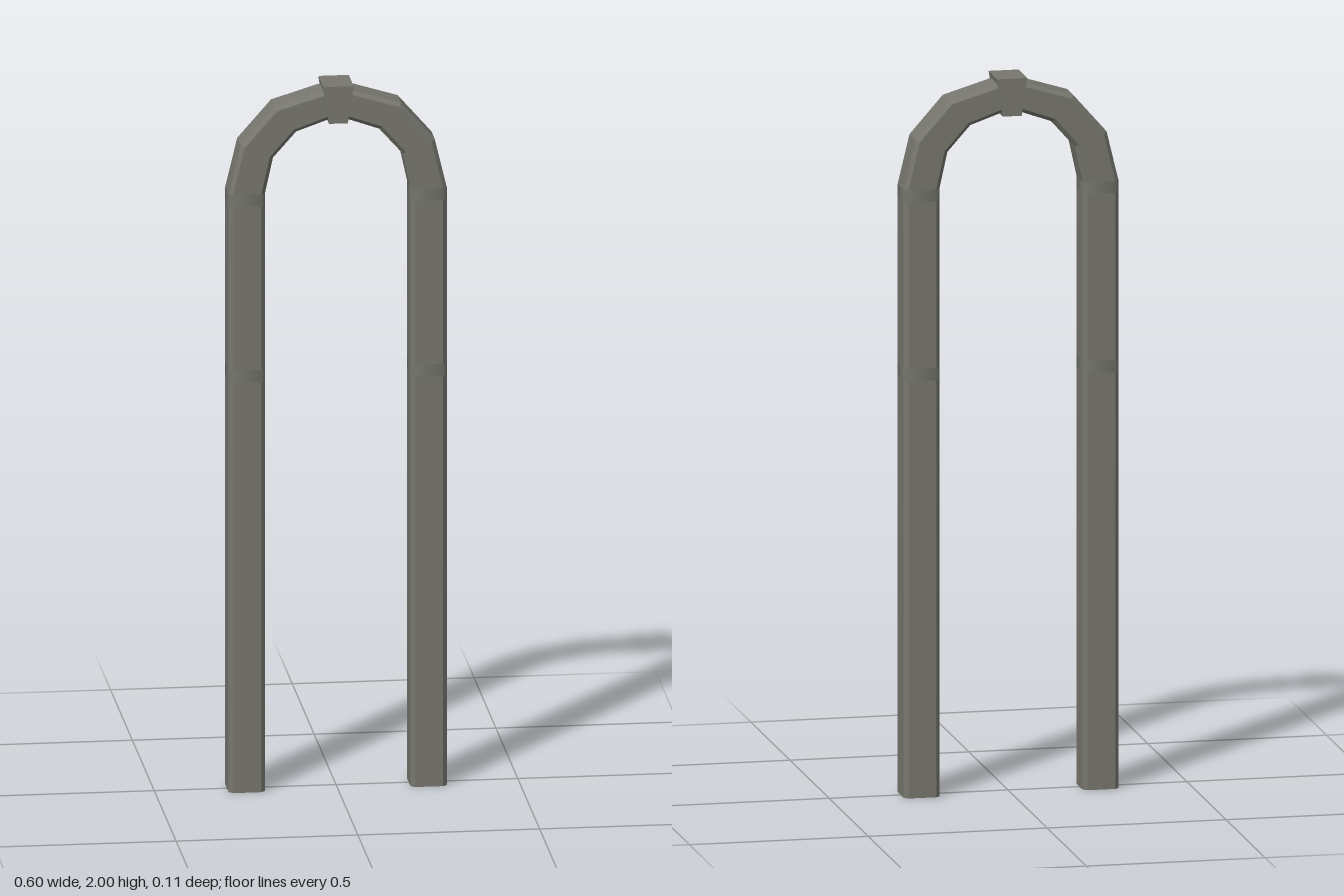
import * as THREE from 'three';

const stone = new THREE.MeshStandardMaterial({ color: 0x77776f, side: THREE.DoubleSide });
stone.name = 'grey stone';

const HALF_DEPTH = 0.05, CHAMFER = 0.011;

// Half of the arch, from foot to crown: [outer x, outer y, inner x, inner y, soft band starts here]
const half = [
  [0.3, 0, 0.2, 0],
  [0.3, 1.165, 0.2, 1.165, true],
  [0.3, 1.2, 0.2, 1.2],
  [0.3, 1.665, 0.2, 1.665, true],
  [0.3, 1.7, 0.2, 1.7],
  [0.267, 1.837, 0.178, 1.8],
  [0.174, 1.943, 0.114, 1.872],
  [0, 1.996, 0, 1.912],
];

// Chamfered square section between an outer and an inner point
function section([ox, oy, ix, iy]) {
  const mid = new THREE.Vector3((ox + ix) / 2, (oy + iy) / 2, 0);
  const out = new THREE.Vector3(ox - ix, oy - iy, 0);
  const h = out.length() / 2, d = HALF_DEPTH, c = CHAMFER;
  out.normalize();
  const outline = [[h, c - d], [h, d - c], [h - c, d], [c - h, d],
    [-h, d - c], [-h, c - d], [c - h, -d], [h - c, -d]];
  return outline.map(([u, z], k) => {
    const a = (k - 0.5) * Math.PI / 4;
    return {
      p: mid.clone().addScaledVector(out, u).setZ(z),
      n: out.clone().multiplyScalar(Math.cos(a)).setZ(Math.sin(a)),
    };
  });
}

// Sweep the section over the legs and arch; soft bands get rounded normals
function archGeometry() {
  const mirrored = half.slice(0, -1).reverse().map(([a, b, c, d]) => [-a, b, -c, d]);
  const rings = [...half, ...mirrored].map(section);
  const pos = [], nor = [];
  for (let i = 0; i < rings.length - 1; i++) {
    const soft = half[Math.min(i, rings.length - 2 - i)][4];
    for (let k = 0; k < 8; k++) {
      const j = (k + 1) % 8;
      const a = rings[i][k], b = rings[i][j], c = rings[i + 1][k], d = rings[i + 1][j];
      const flat = c.p.clone().sub(a.p).cross(b.p.clone().sub(a.p)).normalize();
      for (const v of [a, c, b, b, c, d]) {
        pos.push(...v.p.toArray());
        nor.push(...(soft ? v.n : flat).toArray());
      }
    }
  }
  const g = new THREE.BufferGeometry();
  g.setAttribute('position', new THREE.Float32BufferAttribute(pos, 3));
  g.setAttribute('normal', new THREE.Float32BufferAttribute(nor, 3));
  return g;
}

export function createModel() {
  const model = new THREE.Group();
  model.name = 'archway';

  // Open-footed legs and arch
  const arch = new THREE.Mesh(archGeometry(), stone);
  arch.name = 'arch';
  model.add(arch);

  // Tapered keystone at the crown
  const wedge = new THREE.Shape([[-0.026, 1.895], [0.026, 1.895], [0.042, 2], [-0.042, 2]]
    .map(([x, y]) => new THREE.Vector2(x, y)));
  const keyGeo = new THREE.ExtrudeGeometry(wedge, { depth: 0.112, bevelEnabled: false });
  keyGeo.translate(0, 0, -0.056);
  const keystone = new THREE.Mesh(keyGeo, stone);
  keystone.name = 'keystone';
  model.add(keystone);

  return model;
}
